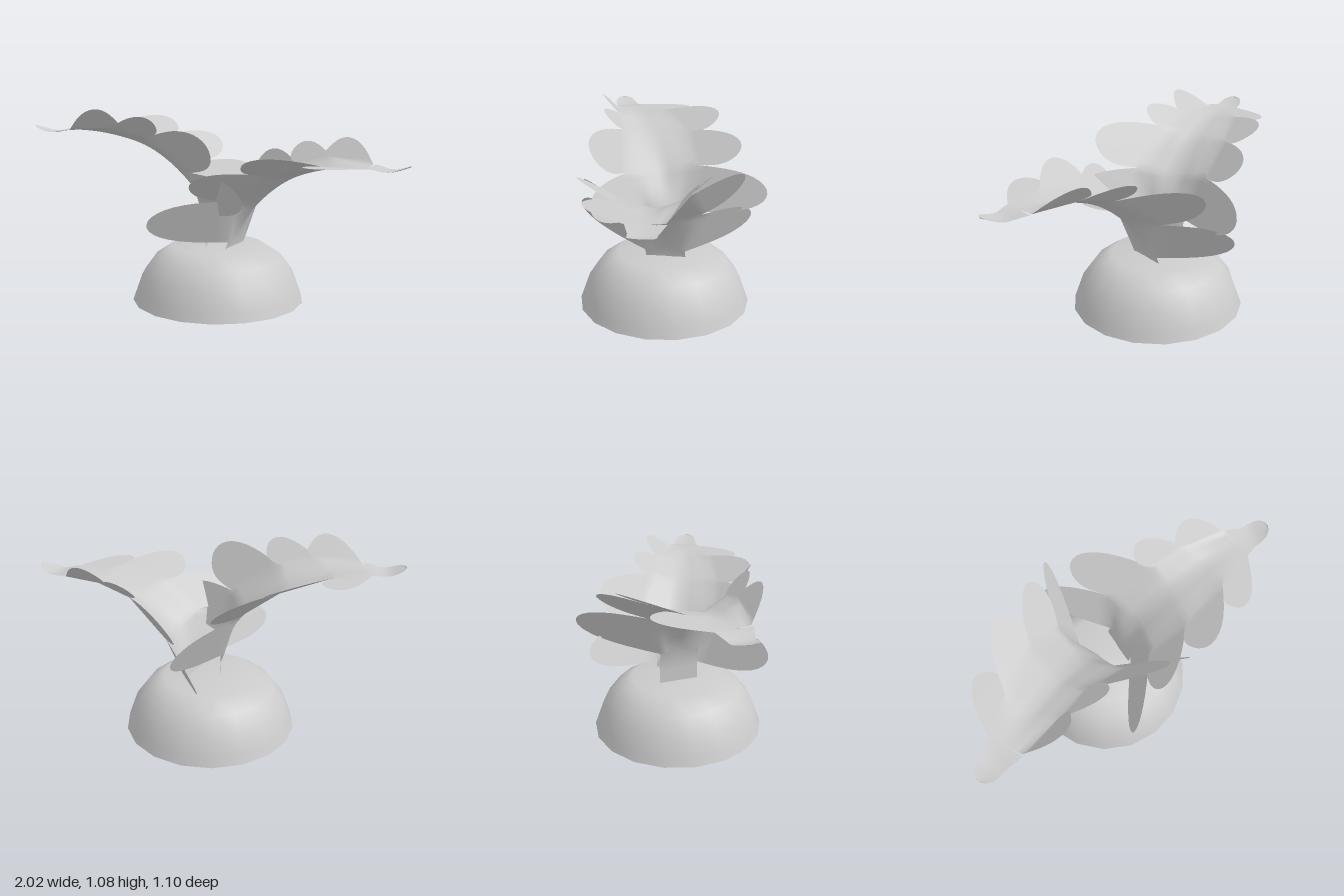
import * as THREE from 'three';
import { mergeVertices } from 'three/addons/utils/BufferGeometryUtils.js';

const V = (x, y, z = 0) => new THREE.Vector3(x, y, z);
const material = new THREE.MeshStandardMaterial({ color: 0xcccccc, side: THREE.DoubleSide });

// Leaf in its own frame: x runs outward, y up, z across.
const rib = new THREE.CatmullRomCurve3([
  V(0, 0.27), V(0.01, 0.5), V(0.13, 0.69), V(0.33, 0.855), V(0.56, 0.93),
  V(0.77, 0.95), V(0.88, 0.935), V(0.98, 0.965),
]);
const ribAt = (i) => rib.getPoint(i / 7);

// Notches run from the stem outward; one swept-back lobe lies between each two.
const sides = [
  {
    notches: [V(0.02, 0.5, 0.11), V(0.08, 0.75, 0.2), V(0.3, 0.9, 0.21), V(0.57, 0.96, 0.15), V(0.78, 0.955, 0.1)],
    tips: [V(-0.24, 0.65, 0.52), V(-0.03, 0.86, 0.44), V(0.255, 0.98, 0.405), V(0.55, 0.97, 0.32)],
  },
  {
    notches: [V(0.02, 0.5, -0.11), V(0.07, 0.74, -0.2), V(0.32, 0.92, -0.14), V(0.52, 0.97, -0.13), V(0.76, 0.955, -0.09)],
    tips: [V(-0.22, 0.64, -0.46), V(-0.04, 0.91, -0.42), V(0.27, 1.02, -0.26), V(0.52, 1.06, -0.21)],
  },
];

// Adds a grid of quads through rows of points
function addRows(rows, positions, index, flip) {
  const start = positions.length / 3, n = rows[0].length;
  rows.forEach((row) => row.forEach((p) => positions.push(p.x, p.y, p.z)));
  for (let r = 0; r < rows.length - 1; r++) {
    for (let c = 0; c < n - 1; c++) {
      const a = start + r * n + c, b = a + 1, d = a + n, e = d + 1;
      if (flip) index.push(a, b, d, b, e, d);
      else index.push(a, d, b, b, d, e);
    }
  }
}

// Lobe: web from the midrib to the notch line, then a rounded tongue
function lobeRows({ notches, tips }, i) {
  const across = 8, web = 3, tongue = 10, rows = [];
  const n0 = notches[i], n1 = notches[i + 1], tip = tips[i];
  const mid = n0.clone().lerp(n1, 0.5);
  const axis = tip.clone().sub(mid).normalize();
  const span = n1.clone().sub(n0);
  for (let k = 0; k <= web; k++) {
    const row = [];
    for (let j = 0; j <= across; j++) {
      const u = j / across;
      row.push(ribAt(i + 1 + u).lerp(n0.clone().lerp(n1, u), k / web));
    }
    rows.push(row);
  }
  for (let k = 1; k <= tongue; k++) {
    const s = Math.sin((k / tongue) * Math.PI / 2);
    const center = mid.clone().lerp(tip, s);
    const dir = span.clone().addScaledVector(axis, -s * span.dot(axis));
    dir.setLength(span.length() * (1 - 0.15 * s) * Math.sqrt(Math.max(0, 1 - s ** 3.5)) + 1e-4);
    const row = [];
    for (let j = 0; j <= across; j++) row.push(center.clone().addScaledVector(dir, j / across - 0.5));
    rows.push(row);
  }
  return rows;
}

function leafGeometry() {
  const positions = [], index = [];
  // Lobes on both sides
  sides.forEach((side, k) => {
    for (let i = 0; i < 4; i++) addRows(lobeRows(side, i), positions, index, k === 1);
  });
  // Flat stem
  const stem = [];
  for (let k = 0; k <= 4; k++) {
    const p = ribAt(k / 4);
    stem.push([-0.11, 0, 0.11].map((z) => V(p.x + (k === 4 ? Math.abs(z) * 0.09 : 0), p.y, z)));
  }
  addRows(stem, positions, index, true);
  // Rounded end lobe
  const end = [];
  for (let k = 0; k <= 12; k++) {
    const s = Math.sin((k / 12) * Math.PI / 2);
    const p = ribAt(5 + 2 * s);
    const w = (0.068 + 0.03 * Math.max(0, 1 - s * 2.5)) * Math.sqrt(Math.max(0, 1 - s ** 5));
    end.push([-1, -0.5, 0, 0.5, 1].map((f) => V(p.x, p.y + 0.005 * f * f, f * w)));
  }
  addRows(end, positions, index, true);
  const geometry = new THREE.BufferGeometry();
  geometry.setAttribute('position', new THREE.Float32BufferAttribute(positions, 3));
  geometry.setIndex(index);
  const merged = mergeVertices(geometry, 1e-4);
  merged.computeVertexNormals();
  return merged;
}

export function createModel() {
  const model = new THREE.Group();

  // Upturned bowl with a flat top
  const profile = [[0.484, 0], [0.466, 0.05], [0.43, 0.15], [0.36, 0.245], [0.262, 0.31], [0, 0.31]];
  const base = new THREE.Mesh(
    new THREE.LatheGeometry(profile.map(([r, y]) => new THREE.Vector2(r, y)), 18), material);
  base.name = 'bowlBase';
  base.position.set(0.035, 0, -0.012);
  model.add(base);

  // Two equal leaves, turned away from each other
  const geometry = leafGeometry();
  const addLeaf = (name, x, y, z, turn) => {
    const leaf = new THREE.Mesh(geometry, material);
    leaf.name = name;
    leaf.position.set(x, y, z);
    leaf.rotation.y = turn;
    model.add(leaf);
  };
  addLeaf('upperLeaf', -0.025, 0, -0.03, Math.PI - 0.04);
  addLeaf('lowerLeaf', 0.125, -0.15, 0.01, -0.436);
  return model;
}
